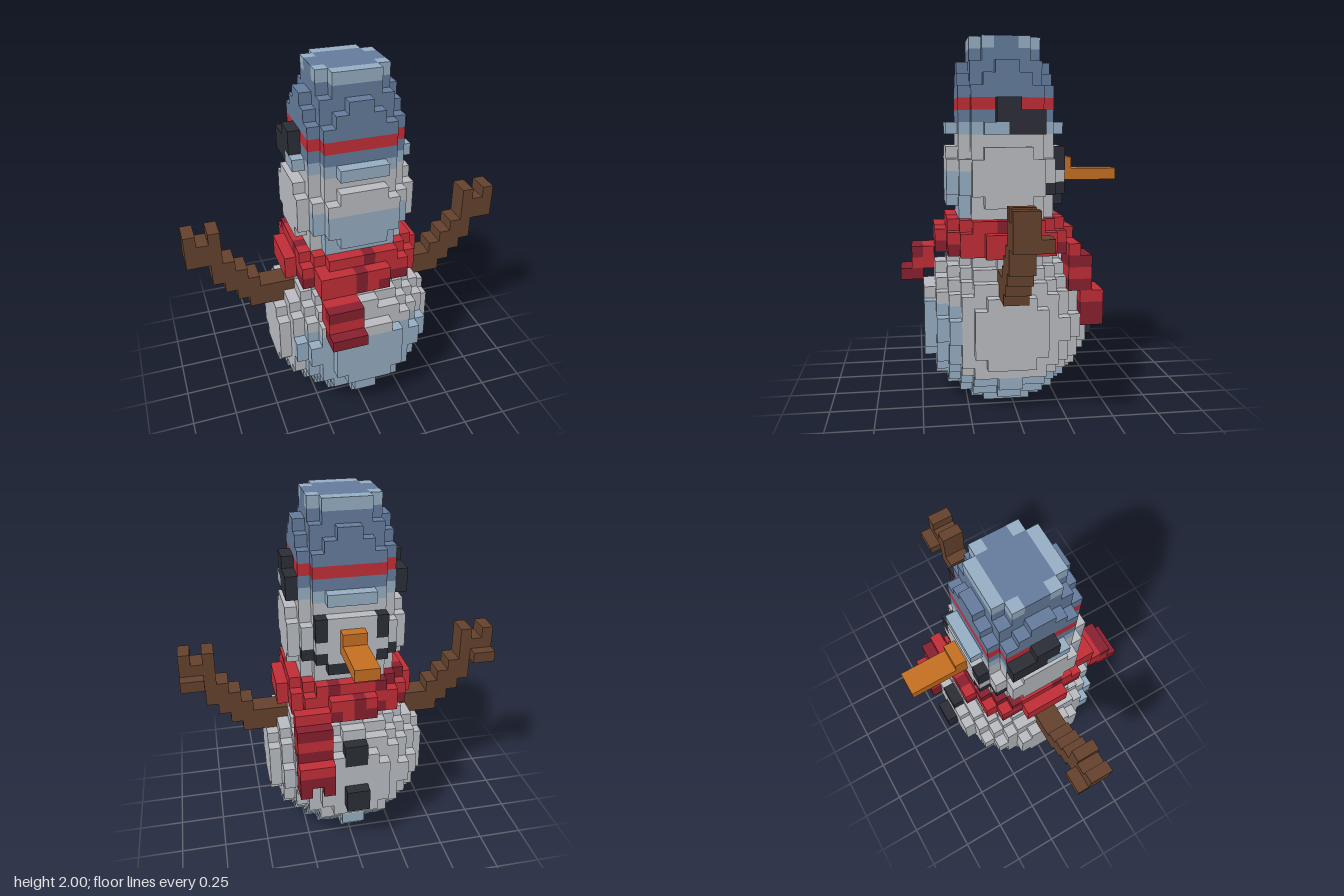
import * as THREE from 'three';

const V = 2 / 31; // cube size
const mat = (name, color) => {
  const m = new THREE.MeshStandardMaterial({ color });
  m.name = name;
  return m;
};

export function createModel() {
  const mats = {
    snow: mat('snow grey', 0xb8bbc0),
    ice: mat('ice blue', 0x95adc2),
    felt: mat('felt blue', 0x647b9b),
    red: mat('scarf red', 0xc02d37),
    darkRed: mat('dark red', 0x86202e),
    coal: mat('coal black', 0x2b2d36),
    wood: mat('wood brown', 0x64422d),
    carrot: mat('carrot orange', 0xc46e22),
  };

  // Grid of coloured cubes; later parts replace earlier ones
  const cells = new Map();
  const key = (i, j, k) => `${i},${j},${k}`;
  const put = (part, color, i, j, k) => cells.set(key(i, j, k), { part, color, i, j, k });
  // Block of cubes; upper bounds are exclusive
  const block = (part, color, x0, x1, y0, y1, z0, z1) => {
    for (let i = x0; i < x1; i++)
      for (let j = y0; j < y1; j++)
        for (let k = z0; k < z1; k++) put(part, color, i, j, k);
  };
  // Round layer; color may be a function of the cell
  const disc = (part, color, j, r2) => {
    for (let i = -8; i < 8; i++)
      for (let k = -8; k < 8; k++) {
        if ((i + 0.5) ** 2 + (k + 0.5) ** 2 > r2) continue;
        put(part, typeof color === 'function' ? color(i, j, k) : color, i, j, k);
      }
  };
  // Same block on both sides
  const pair = (part, color, x0, x1, ...rest) => {
    block(part, color, x0, x1, ...rest);
    block(part, color, -x1, -x0, ...rest);
  };

  // Body and head balls with icy undersides and backs
  for (let j = 0; j < 14; j++)
    disc('body', (i, y, k) => (y <= 2 || (k >= 4 && y <= 8) ? 'ice' : 'snow'), j, 51.84 - (j - 6.5) ** 2);
  for (let j = 14; j < 24; j++)
    disc('head', (i, y, k) => (k >= 3 && y <= 19 ? 'ice' : 'snow'), j, 28 - (j - 19) ** 2);

  // Scarf wrap
  disc('scarf', (i) => (Math.abs(i + 0.5) < 5 && i % 4 !== 0 ? 'darkRed' : 'red'), 13, 33);
  disc('scarf', (i) => (i === -1 ? 'darkRed' : 'red'), 14, 33);
  disc('scarf', (i, j, k) => ((i + k + 40) % 4 === 0 ? 'darkRed' : 'red'), 15, 27);
  // Scarf tails
  block('backTail', 'red', -4, -1, 13, 15, 5, 6);
  block('backTail', 'red', -4, -1, 11, 13, 6, 8);
  block('backTail', 'darkRed', -4, -1, 12, 13, 7, 8);
  block('backTail', 'darkRed', -4, -1, 10, 11, 7, 9);
  block('frontTail', 'red', 2, 5, 13, 14, -6, -5);
  ['darkRed', 'red', 'darkRed'].forEach((c, n) => block('frontTail', c, 2, 5, 12 - n, 13 - n, -7, -5));
  block('frontTail', 'red', 2, 5, 9, 10, -8, -6);
  block('frontTail', 'darkRed', 2, 5, 8, 9, -8, -6);
  for (const x of [2, 4]) block('frontTail', 'darkRed', x, x + 1, 7, 8, -8, -6);

  // Hat: brim, band and stepped crown
  disc('hatBrim', 'ice', 23, 24);
  disc('hat', 'felt', 24, 19);
  disc('hatBand', 'red', 25, 19);
  [19, 15, 13, 9].forEach((r2, n) => disc('hat', 'felt', 26 + n, r2));
  const edge = (a) => Math.abs(a + 0.5);
  disc('hatTop', (i, j, k) => (edge(k) > 2 || (edge(i) > 2 && edge(k) > 1) ? 'ice' : 'felt'), 30, 9);

  // Ear muffs
  pair('earMuffs', 'coal', 4, 5, 25, 26, -1, 1);
  pair('earMuffs', 'coal', 4, 5, 24, 25, -3, 1);
  pair('earMuffs', 'coal', 4, 5, 23, 24, -3, 0);

  // Face and buttons
  pair('eyes', 'coal', 2, 3, 20, 22, -5, -4);
  block('mouth', 'coal', -2, 2, 17, 18, -5, -4);
  pair('mouth', 'coal', 2, 3, 18, 19, -5, -4);
  pair('mouth', 'coal', 3, 4, 18, 19, -4, -3);
  block('nose', 'carrot', -1, 1, 19, 20, -10, -5);
  block('nose', 'carrot', -1, 1, 20, 21, -6, -5);
  block('buttons', 'coal', -1, 1, 5, 7, -8, -7);
  block('buttons', 'coal', -1, 1, 9, 11, -7, -6);

  // Stick arms: [row, inner x, outer x]
  const arm = [[10, 6, 9], [11, 5, 10], [12, 8, 11], [13, 9, 12], [14, 10, 12],
    [15, 11, 14], [16, 11, 14], [17, 11, 12], [17, 13, 14]];
  for (const [j, a, b] of arm) pair('arms', 'wood', a, b, j, j + 1, -1, 1);
  pair('arms', 'wood', 12, 14, 15, 16, -2, -1);

  // Collect outer cube faces per part and colour
  const groups = new Map();
  for (const { part, color, i, j, k } of cells.values()) {
    const id = `${part}|${color}`;
    if (!groups.has(id)) groups.set(id, { pos: [], nor: [] });
    const { pos, nor } = groups.get(id);
    const c = [i + 0.5, j + 0.5, k + 1];
    for (let axis = 0; axis < 3; axis++)
      for (const s of [1, -1]) {
        const n = [0, 0, 0];
        n[axis] = s;
        if (cells.has(key(i + n[0], j + n[1], k + n[2]))) continue;
        const u = (axis + 1) % 3, w = (axis + 2) % 3;
        const corner = (a, b) => {
          const p = [...c];
          p[axis] += s / 2;
          p[u] += (a * s) / 2;
          p[w] += b / 2;
          return p.map((q) => q * V);
        };
        const q = [corner(-1, -1), corner(1, -1), corner(1, 1), corner(-1, 1)];
        for (const t of [0, 1, 2, 0, 2, 3]) {
          pos.push(...q[t]);
          nor.push(...n);
        }
      }
  }

  const model = new THREE.Group();
  model.name = 'snowman';
  for (const [id, { pos, nor }] of groups) {
    if (!pos.length) continue;
    const [part, color] = id.split('|');
    const g = new THREE.BufferGeometry();
    g.setAttribute('position', new THREE.Float32BufferAttribute(pos, 3));
    g.setAttribute('normal', new THREE.Float32BufferAttribute(nor, 3));
    const mesh = new THREE.Mesh(g, mats[color]);
    mesh.name = part;
    model.add(mesh);
  }
  return model;
}
